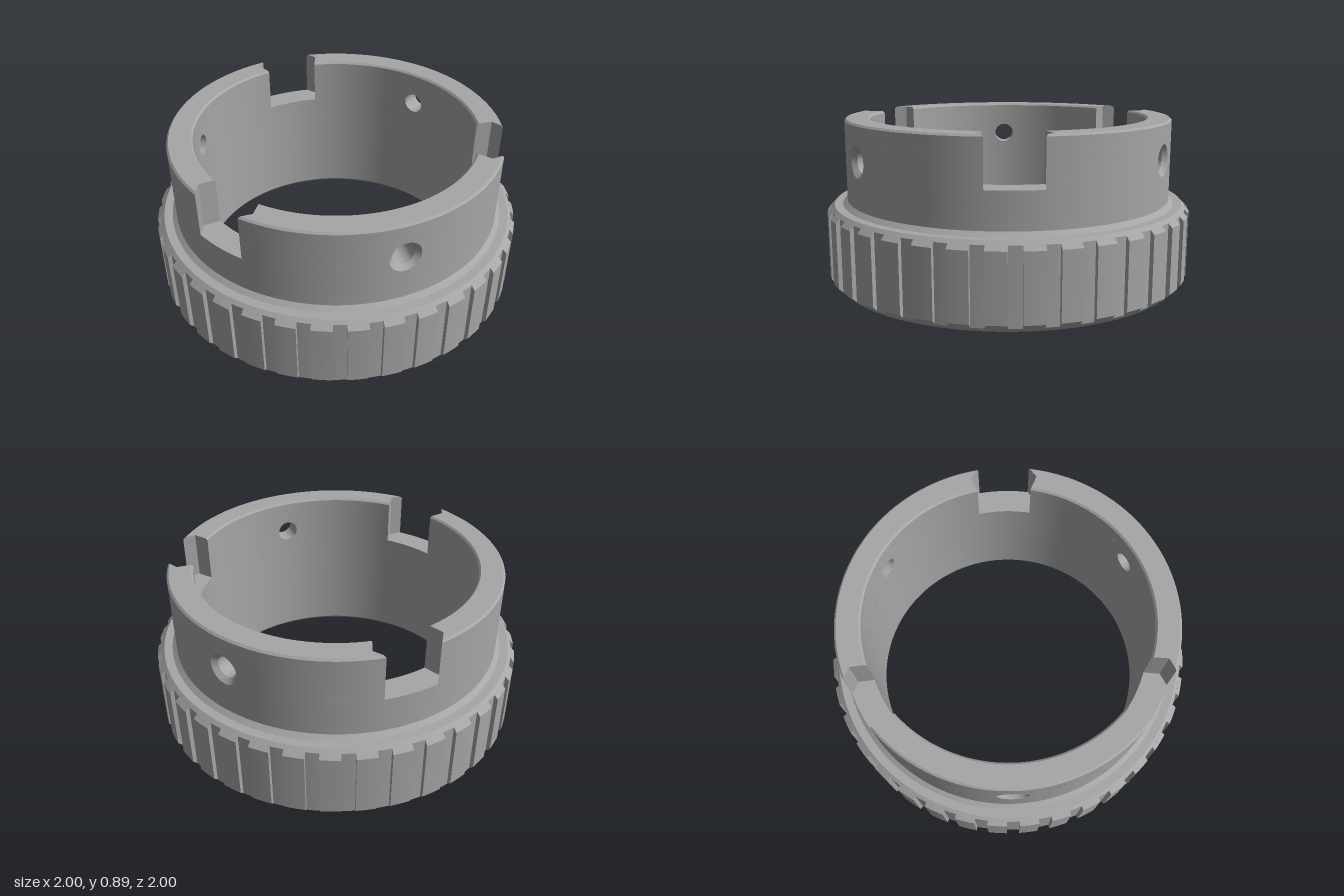
import * as THREE from 'three';
import { mergeGeometries, toCreasedNormals } from 'three/addons/utils/BufferGeometryUtils.js';

const OUT = 0.89, IN = 0.755, TOP = 0.89;      // upper collar
const FLOOR = 0.64, LOW = 0.6, HIGH = 0.8;     // notch floor, hole patch limits
const HOLE_Y = 0.7, PATCH = 0.13;              // radial hole height, patch half angle
const THIRD = Math.PI * 2 / 3;
const GROOVES = 36, GROOVE_R = 0.978;

// Point on a cylinder; angle 0 faces the front
const pt = (r, y, a) => [r * Math.sin(a), y, r * Math.cos(a)];

// Surface through a grid of points
function grid(rows) {
  const pos = [];
  for (let i = 0; i < rows.length - 1; i++) {
    for (let j = 0; j < rows[i].length - 1; j++) {
      const a = rows[i][j], b = rows[i][j + 1], c = rows[i + 1][j + 1], d = rows[i + 1][j];
      pos.push(...a, ...b, ...c, ...a, ...c, ...d);
    }
  }
  const g = new THREE.BufferGeometry();
  g.setAttribute('position', new THREE.Float32BufferAttribute(pos, 3));
  return g;
}

// Sweep a [radius, y] profile between two angles, which may depend on radius
function sweep(profile, from, to, segs) {
  return grid(profile.map(([r, y]) => {
    const a0 = typeof from === 'function' ? from(r) : from;
    const a1 = typeof to === 'function' ? to(r) : to;
    return Array.from({ length: segs + 1 }, (_, j) => pt(r, y, a0 + (a1 - a0) * j / segs));
  }));
}

// Half angle of a collar wall: its ends have a V-shaped recess
const V_R = 0.84;
function edge(r) {
  const notch = r > V_R
    ? THREE.MathUtils.mapLinear(r, V_R, OUT, 0.216, 0.158)
    : THREE.MathUtils.mapLinear(r, IN, V_R, 0.193, 0.216);
  return THREE.MathUtils.degToRad(60) - notch;
}
const minusEdge = (r) => -edge(r);

// Collar wall with a countersunk hole, plus one notch floor
function collarThird() {
  const parts = [];
  const cap = [[OUT, HIGH], [OUT, 0.88], [0.88, TOP], [V_R, TOP], [0.765, TOP], [IN, 0.88], [IN, HIGH]];
  parts.push(sweep(cap, minusEdge, edge, 48));

  // walls beside the hole and the band below the notch
  for (const [r, up] of [[OUT, true], [IN, false]]) {
    const wall = [[r, FLOOR], [r, HIGH]], band = [[r, LOW], [r, FLOOR]];
    if (!up) { wall.reverse(); band.reverse(); }
    parts.push(sweep(wall, PATCH, edge, 20), sweep(wall, minusEdge, -PATCH, 20));
    parts.push(sweep(band, PATCH, THIRD - PATCH, 48));
  }

  // notch floor
  parts.push(sweep([[OUT, FLOOR], [IN, FLOOR]], 0.82, THIRD - 0.82, 12));

  // V-shaped end faces
  const ends = cap.slice(1, -1);
  for (const s of [1, -1]) {
    const cols = s > 0 ? ends : [...ends].reverse();
    parts.push(grid([
      cols.map(([r]) => pt(r, FLOOR, s * edge(r))),
      cols.map(([r, y]) => pt(r, y, s * edge(r))),
    ]));
  }

  // hole: square border, countersink, bore, square border inside
  const N = 48;
  const ring = (fn) => Array.from({ length: N + 1 }, (_, j) => {
    const t = j / N * Math.PI * 2;
    return fn(Math.cos(t), Math.sin(t));
  });
  const square = (r) => ring((c, s) => {
    const m = Math.max(Math.abs(c), Math.abs(s));
    return pt(r, HOLE_Y + (HIGH - HOLE_Y) * s / m, PATCH * c / m);
  });
  const circle = (r, q) => ring((c, s) => pt(r, HOLE_Y + q * s, Math.asin(q * c / r)));
  parts.push(grid([square(OUT), circle(OUT, 0.083), circle(OUT - 0.025, 0.058), circle(IN, 0.058), square(IN)]));
  return mergeGeometries(parts);
}

// One raised grip rib between two grooves
function gripRib() {
  const profile = [[GROOVE_R, 0.023], [1, 0.045], [1, 0.39], [GROOVE_R, 0.412]];
  const a0 = 0.035, a1 = Math.PI * 2 / GROOVES - 0.035;
  const side = (a, flip) => grid(profile.map(([r, y]) => {
    const row = [pt(r, y, a), pt(0.97, y, a)];
    return flip ? row.reverse() : row;
  }));
  return mergeGeometries([sweep(profile, a0, a1, 4), side(a1, false), side(a0, true)]);
}

export function createModel() {
  const group = new THREE.Group();
  group.name = 'lockingRing';
  const grey = new THREE.MeshStandardMaterial({ color: 0xa6a6a6 });
  grey.name = 'grey';

  const add = (name, geometry, angle = 0) => {
    const mesh = new THREE.Mesh(geometry, grey);
    mesh.name = name;
    mesh.rotation.y = angle;
    group.add(mesh);
  };

  // base ring with chamfers and the step up to the collar
  const base = [
    [IN, LOW], [IN, 0.02], [0.775, 0], [0.955, 0], [GROOVE_R, 0.023], [GROOVE_R, 0.412],
    [0.96, 0.43], [0.915, 0.43], [OUT, 0.452], [OUT, LOW],
  ];
  add('baseRing', toCreasedNormals(sweep(base, 0, Math.PI * 2, 144), 0.4));

  const rib = toCreasedNormals(gripRib(), 0.4);
  for (let i = 0; i < GROOVES; i++) add('gripRib', rib, i * Math.PI * 2 / GROOVES);

  const third = toCreasedNormals(collarThird(), 0.4);
  for (let i = 0; i < 3; i++) add('notchedCollar', third, i * THIRD);

  return group;
}
